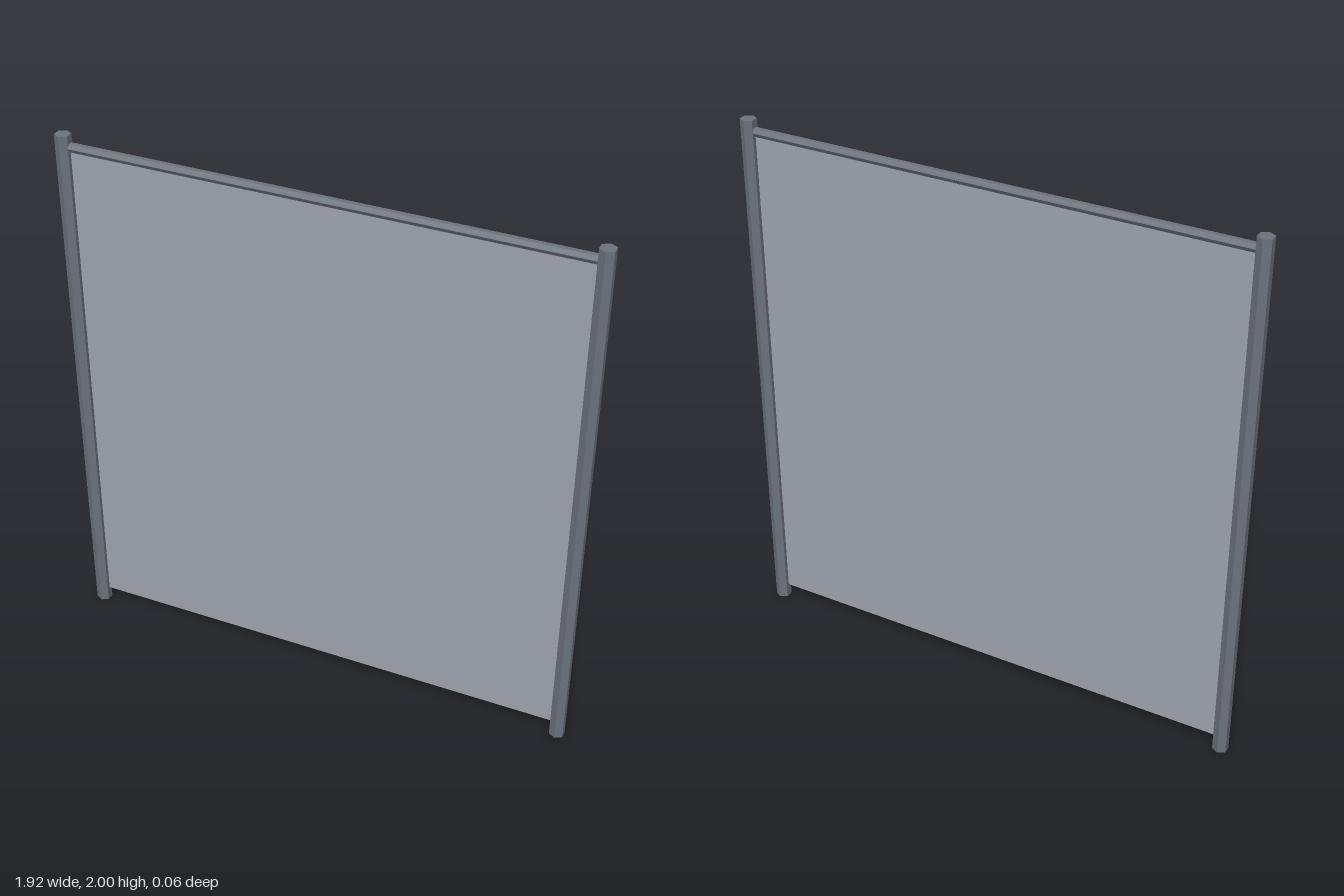
import * as THREE from 'three';

export function createModel() {
  const group = new THREE.Group();
  const steel = new THREE.MeshStandardMaterial({ name: 'dark steel', color: 0x6c737c, flatShading: true });
  const mesh = new THREE.MeshStandardMaterial({ name: 'light grey mesh', color: 0x9ca3ab, side: THREE.DoubleSide });

  const postX = 0.935;
  const railY = 1.956;
  const panelBottom = 0.05;

  const add = (name, geometry, material, x, y) => {
    const part = new THREE.Mesh(geometry, material);
    part.name = name;
    part.position.set(x, y, 0);
    group.add(part);
    return part;
  };

  // Six-sided upright posts
  const postGeometry = new THREE.CylinderGeometry(0.029, 0.029, 2, 6);
  add('leftPost', postGeometry, steel, postX, 1);
  add('rightPost', postGeometry, steel, -postX, 1);

  // Six-sided top rail running between the post centres
  const rail = add('topRail', new THREE.CylinderGeometry(0.017, 0.017, postX * 2, 6), steel, 0, railY);
  rail.rotation.z = Math.PI / 2;

  // Flat fence panel hanging from the rail, clear of the ground
  const panelGeometry = new THREE.PlaneGeometry(postX * 2, railY - panelBottom);
  add('fencePanel', panelGeometry, mesh, 0, (railY + panelBottom) / 2);

  return group;
}
